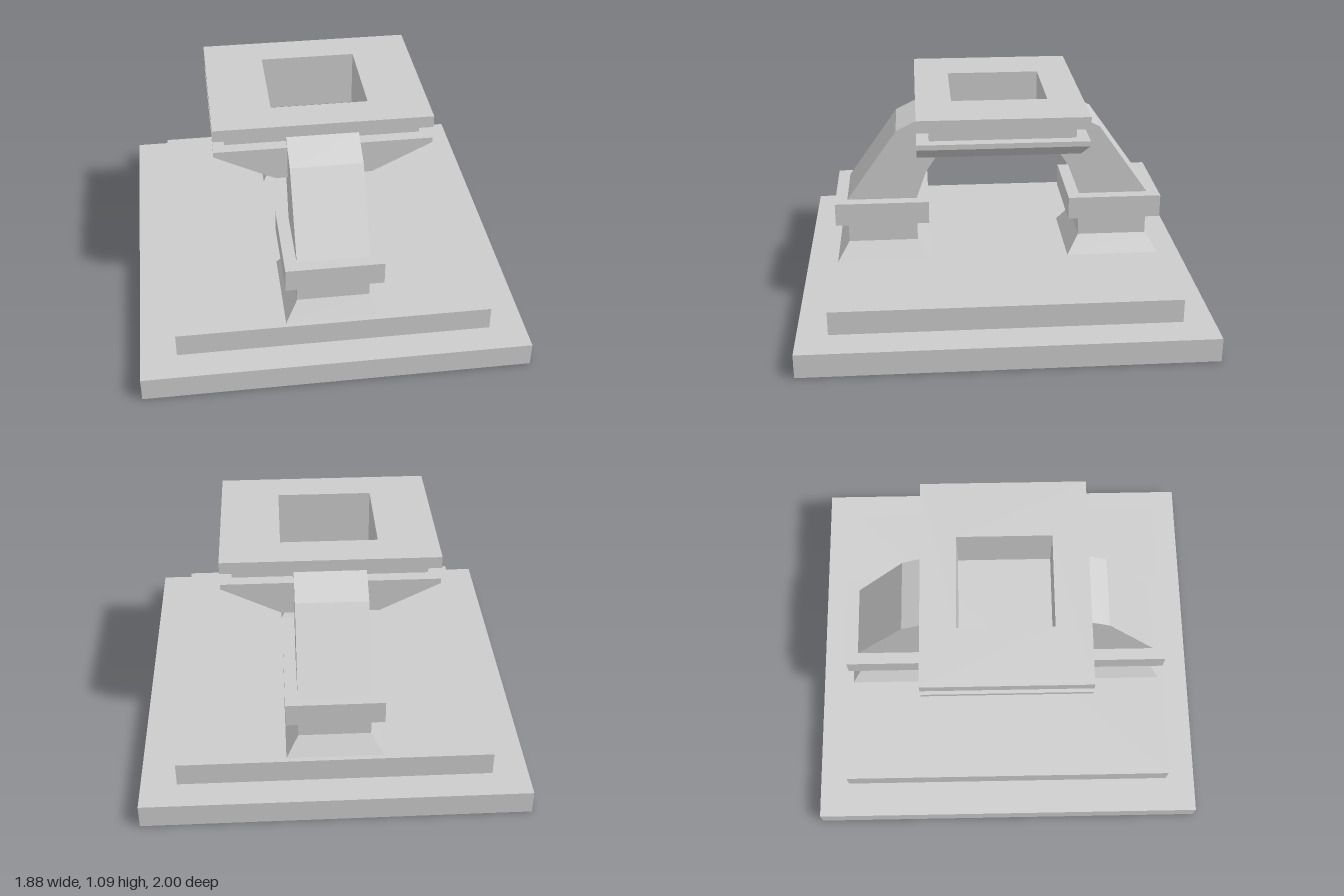
import * as THREE from 'three';

const material = new THREE.MeshStandardMaterial({ color: 0xcccccc, flatShading: true });

function addMesh(parent, name, geometry, x = 0, y = 0, z = 0) {
  const mesh = new THREE.Mesh(geometry, material);
  mesh.name = name;
  mesh.position.set(x, y, z);
  parent.add(mesh);
  return mesh;
}

// Joins rectangular loops [y, half width, half depth], ordered bottom to top on the outside
function rectLoft(loops) {
  const corners = [[1, 1], [1, -1], [-1, -1], [-1, 1]];
  const positions = [];
  const index = [];
  for (const [y, hx, hz] of loops) {
    for (const [sx, sz] of corners) positions.push(sx * hx, y, sz * hz);
  }
  for (let i = 0; i < loops.length - 1; i++) {
    for (let j = 0; j < 4; j++) {
      const k = (j + 1) % 4;
      const a = i * 4 + j, b = i * 4 + k, c = b + 4, d = a + 4;
      index.push(a, b, c, a, c, d);
    }
  }
  const indexed = new THREE.BufferGeometry();
  indexed.setAttribute('position', new THREE.Float32BufferAttribute(positions, 3));
  indexed.setIndex(index);
  const geometry = indexed.toNonIndexed();
  geometry.computeVertexNormals();
  return geometry;
}

// Pillar with flared foot, collar and inward-bending arm, on the +z side
function createSupport(name) {
  const support = new THREE.Group();
  support.name = name;
  const z = 0.59;

  addMesh(support, 'pillar', rectLoft([
    [0.24, 0, 0], [0.24, 0.235, 0.235], [0.33, 0.175, 0.175], [0.56, 0.175, 0.175], [0.56, 0, 0],
  ]), 0, 0, z);
  addMesh(support, 'collar', new THREE.BoxGeometry(0.47, 0.115, 0.47), 0, 0.5025, z);

  const profile = new THREE.Shape([
    [0.765, 0.56], [0.51, 0.92], [0.35, 1.0], [0.3, 1.0], [0.3, 0.8], [0.365, 0.7], [0.415, 0.56],
  ].map(([pz, py]) => new THREE.Vector2(pz, py)));
  const arm = new THREE.ExtrudeGeometry(profile, { depth: 0.35, bevelEnabled: false });
  arm.rotateY(-Math.PI / 2);
  addMesh(support, 'arm', arm, 0.175, 0, 0);
  return support;
}

export function createModel() {
  const model = new THREE.Group();
  model.name = 'pedestal';

  // Stepped base
  addMesh(model, 'basePlate', new THREE.BoxGeometry(1.88, 0.12, 2), 0, 0.06, 0);
  addMesh(model, 'baseStep', new THREE.BoxGeometry(1.53, 0.12, 1.7), 0, 0.18, 0);

  // Front and back supports
  model.add(createSupport('frontSupport'));
  const back = createSupport('backSupport');
  back.rotation.y = Math.PI;
  model.add(back);

  // Socket: sloped underside, grooved rim and square opening
  addMesh(model, 'socket', rectLoft([
    [0.8, 0.235, 0.235],
    [0.8, 0.235, 0.41],
    [0.945, 0.525, 0.41],
    [0.97, 0.525, 0.41],
    [0.97, 0.47, 0.35],
    [1.03, 0.47, 0.35],
    [1.03, 0.525, 0.41],
    [1.09, 0.525, 0.41],
    [1.09, 0.235, 0.235],
    [0.8, 0.235, 0.235],
  ]));

  return model;
}
